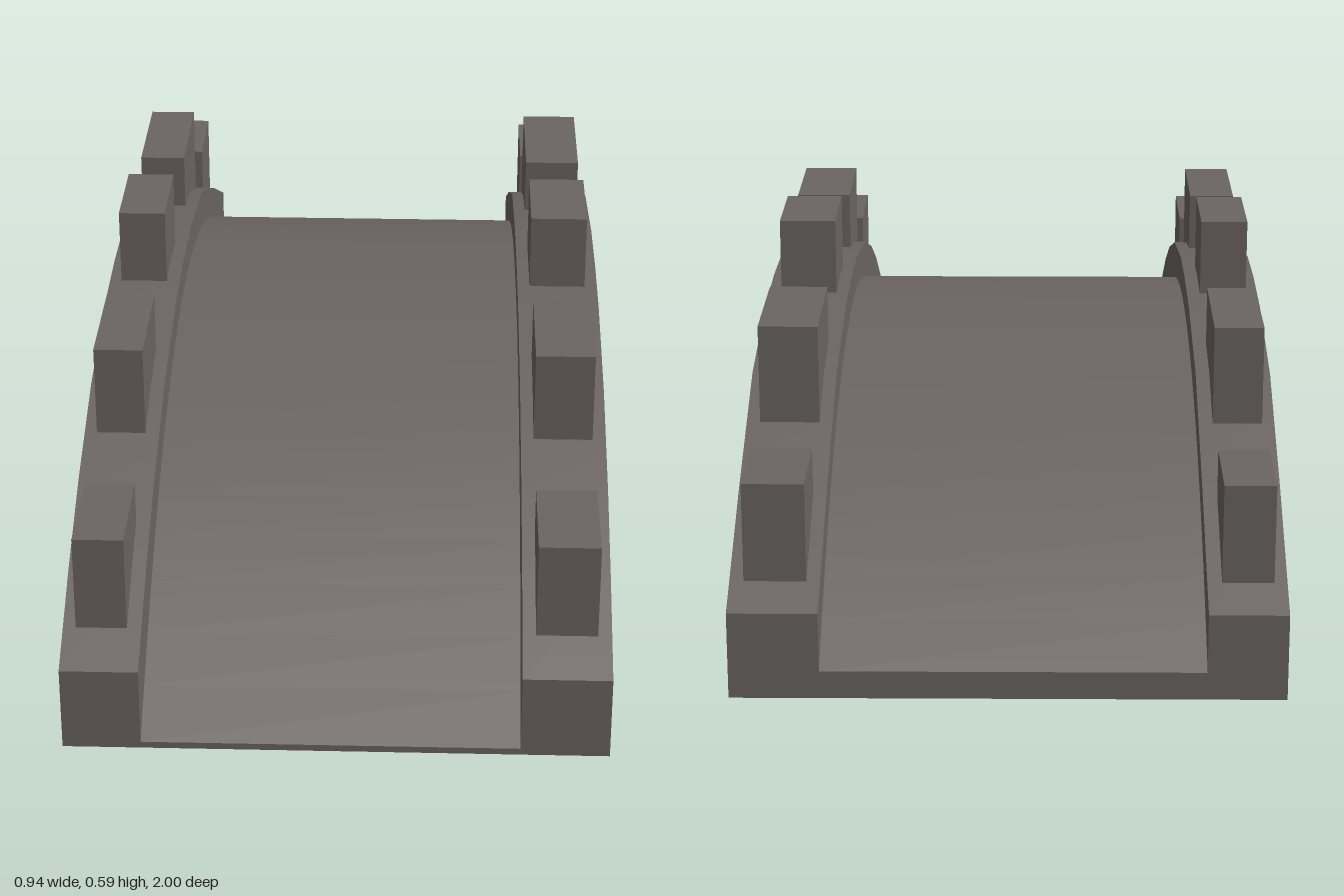
import * as THREE from 'three';
import { toCreasedNormals } from 'three/addons/utils/BufferGeometryUtils.js';

const stone = new THREE.MeshStandardMaterial({ color: 0x6b6463 });
stone.name = 'stone';

// Underside of the arch as [z, y], back to front
const soffit = [
  [-1, 0.003], [-0.74, 0.13], [-0.46, 0.248], [-0.19, 0.291], [0, 0.298],
  [0.16, 0.291], [0.42, 0.248], [0.65, 0.173], [0.82, 0.098], [1, 0],
];

// Extrude a (z, y) outline across the bridge from x0 to x1
function across(outline, x0, x1) {
  const shape = new THREE.Shape(outline.map(([z, y]) => new THREE.Vector2(z, y)));
  const geometry = new THREE.ExtrudeGeometry(shape, { depth: x1 - x0, bevelEnabled: false });
  geometry.rotateY(-Math.PI / 2);
  geometry.translate(x1, 0, 0);
  return toCreasedNormals(geometry, 0.4);
}

export function createModel() {
  const bridge = new THREE.Group();
  bridge.name = 'archedBridge';
  const add = (name, geometry, parent = bridge) => {
    const mesh = new THREE.Mesh(geometry, stone);
    mesh.name = name;
    parent.add(mesh);
    return mesh;
  };

  // Walkway: thickest at the crown, a little higher at the back end than the front
  const walkway = [];
  for (let i = 0; i <= 24; i++) {
    const z = 1 - i / 12;
    const drop = z > 0 ? 0.38 * z ** 2 : 0.34 * Math.abs(z) ** 2.1;
    walkway.push([z, 0.392 - drop]);
  }
  add('walkway', across([...soffit, ...walkway], -0.335, 0.317));

  // Parapets follow the arch at constant height
  const parapetTop = soffit.map(([z, y]) => [z, y + 0.153]).reverse();
  const parapet = [...soffit, ...parapetTop];

  // Battlement blocks: z start, z end, bottom, top
  const blocks = [
    [-0.935, -0.757, 0.15, 0.362], [-0.584, -0.337, 0.3, 0.527],
    [-0.108, 0.079, 0.4, 0.59], [0.314, 0.537, 0.33, 0.53], [0.73, 0.925, 0.18, 0.368],
  ];

  const sides = [
    ['right', -0.47, -0.335, -0.448, -0.36],
    ['left', 0.317, 0.47, 0.34, 0.446],
  ];
  for (const [side, x0, x1, b0, b1] of sides) {
    add(side + 'Parapet', across(parapet, x0, x1));
    const row = new THREE.Group();
    row.name = side + 'Battlements';
    bridge.add(row);
    blocks.forEach(([z0, z1, y0, y1], i) => {
      const block = add(`${side}Block${i + 1}`, new THREE.BoxGeometry(b1 - b0, y1 - y0, z1 - z0), row);
      block.position.set((b0 + b1) / 2, (y0 + y1) / 2, (z0 + z1) / 2);
    });
  }
  return bridge;
}
